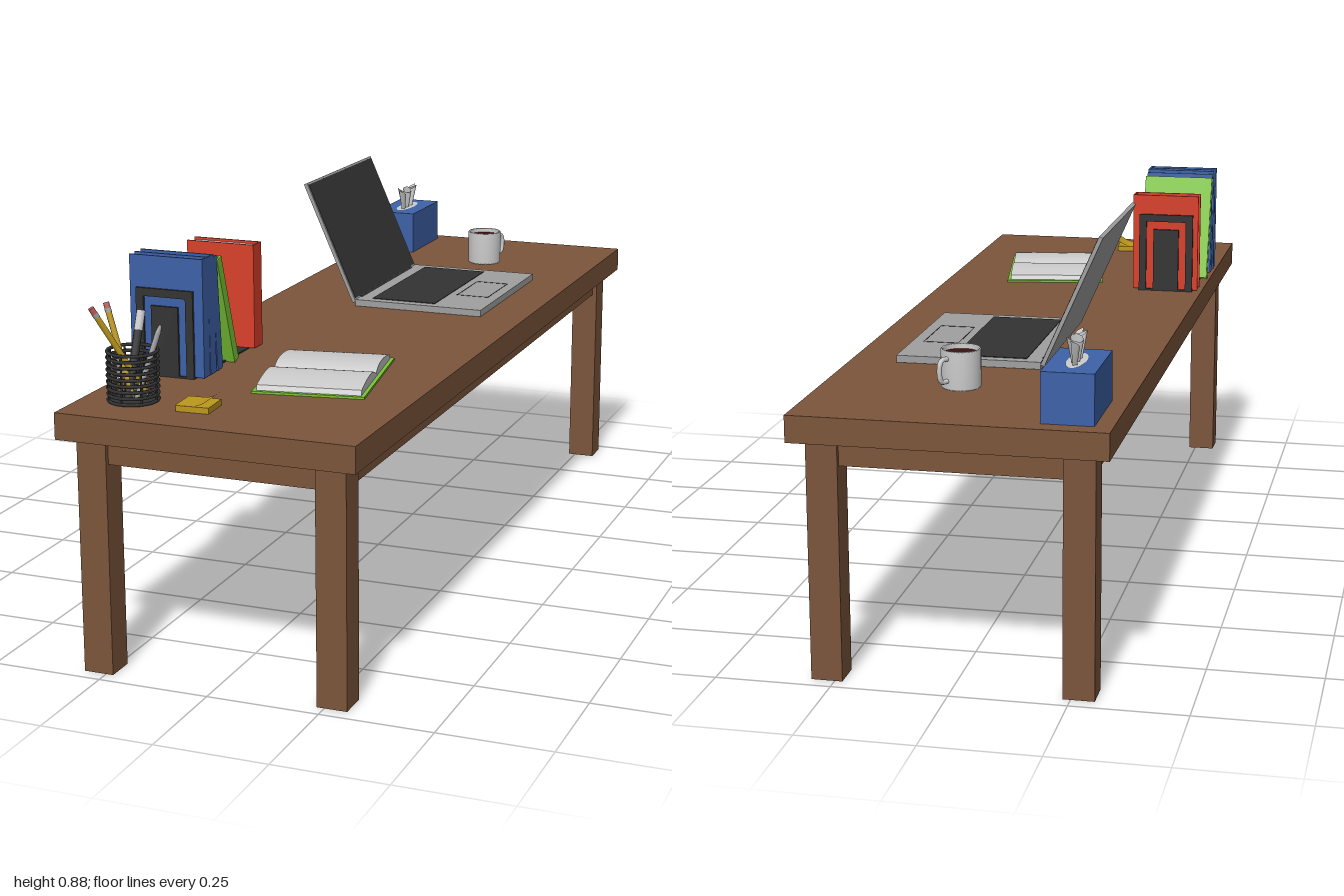
import * as THREE from 'three';

const mat = (color) => new THREE.MeshStandardMaterial({ color, side: THREE.DoubleSide });
const WOOD = mat(0x7b553a), GREY = mat(0xcccccc), SILVER = mat(0xa0a0a0), DARK = mat(0x333333);
const BLUE = mat(0x3d62a8), GREEN = mat(0x7ac435), RED = mat(0xd9402a), YELLOW = mat(0xbd981c);
const PINK = mat(0xc0605c), COFFEE = mat(0x3a1210), TIP = mat(0xc9a878);
const TOP = 0.578;

function add(parent, name, geometry, material, x = 0, y = 0, z = 0) {
  const m = new THREE.Mesh(geometry, material);
  m.name = name;
  m.position.set(x, y, z);
  parent.add(m);
  return m;
}
const box = (parent, name, material, w, h, d, x, y, z) =>
  add(parent, name, new THREE.BoxGeometry(w, h, d), material, x, y, z);

function group(parent, name, x = 0, y = 0, z = 0) {
  const g = new THREE.Group();
  g.name = name;
  g.position.set(x, y, z);
  parent.add(g);
  return g;
}

function buildDesk(root) {
  const desk = group(root, 'desk');
  box(desk, 'deskTop', WOOD, 0.666, 0.058, 2, 0, 0.549, 0);
  for (const s of [-1, 1]) {
    for (const t of [-1, 1]) box(desk, 'leg', WOOD, 0.067, 0.52, 0.067, s * 0.267, 0.26, t * 0.935);
    box(desk, 'sideApron', WOOD, 0.045, 0.056, 1.81, s * 0.267, 0.493, 0);
    box(desk, 'endApron', WOOD, 0.47, 0.056, 0.045, 0, 0.493, s * 0.935);
  }
}

function buildLaptop(root) {
  const g = group(root, 'laptop', 0, TOP, -0.317);
  box(g, 'laptopBase', SILVER, 0.325, 0.016, 0.435, 0.064, 0.009, 0);
  box(g, 'keyboard', DARK, 0.163, 0.002, 0.386, 0.019, 0.0175, 0);
  // touchpad outline
  for (const s of [-1, 1]) {
    box(g, 'touchpadEdge', DARK, 0.08, 0.001, 0.002, 0.16, 0.0172, s * 0.08);
    box(g, 'touchpadEdge', DARK, 0.002, 0.001, 0.16, 0.16 + s * 0.04, 0.0172, 0);
  }
  const hinge = add(g, 'hinge', new THREE.CylinderGeometry(0.006, 0.006, 0.36, 12), DARK, -0.098, 0.013, 0);
  hinge.rotation.x = Math.PI / 2;
  // lid leans back toward -x
  const lid = group(g, 'lid', -0.102, 0.01, 0);
  lid.rotation.z = 0.418;
  box(lid, 'lidShell', SILVER, 0.009, 0.315, 0.435, 0, 0.1575, 0);
  box(lid, 'screen', DARK, 0.002, 0.302, 0.425, 0.0045, 0.159, 0);
}

function buildMug(root) {
  const g = group(root, 'mug', 0.037, TOP, -0.708);
  const pts = [[0, 0], [0.04, 0], [0.043, 0.004], [0.043, 0.083], [0.041, 0.085], [0.038, 0.083], [0.038, 0.006], [0, 0.006]];
  add(g, 'cup', new THREE.LatheGeometry(pts.map((p) => new THREE.Vector2(...p)), 36), GREY);
  const coffee = add(g, 'coffee', new THREE.CircleGeometry(0.039, 36), COFFEE, 0, 0.074, 0);
  coffee.rotation.x = -Math.PI / 2;
  const path = new THREE.CatmullRomCurve3([[0.04, 0.068], [0.058, 0.067], [0.064, 0.058], [0.064, 0.03], [0.058, 0.021], [0.04, 0.02]]
    .map(([x, y]) => new THREE.Vector3(x, y, 0)));
  const handle = add(g, 'handle', new THREE.TubeGeometry(path, 28, 0.0055, 8), GREY);
  handle.rotation.y = 1.05;
}

function buildTissueBox(root) {
  const g = group(root, 'tissueBox', -0.24, TOP, -0.857);
  box(g, 'carton', BLUE, 0.11, 0.107, 0.203, 0, 0.0535, 0);
  const slot = add(g, 'slot', new THREE.CircleGeometry(1, 28), GREY, 0, 0.1076, 0);
  slot.rotation.x = -Math.PI / 2;
  slot.scale.set(0.02, 0.065, 1);
  // crumpled sheet: a fan with rippled folds
  const sheet = new THREE.PlaneGeometry(1, 1, 24, 4);
  const p = sheet.attributes.position;
  for (let i = 0; i < p.count; i++) {
    const u = p.getX(i), v = p.getY(i) + 0.5;
    p.setXYZ(i, Math.sin(u * 19) * (0.006 + 0.01 * v),
      0.1 + v * (0.056 + 0.007 * Math.cos(u * 24)), u * (0.08 + 0.045 * v));
  }
  sheet.computeVertexNormals();
  add(g, 'tissue', sheet, GREY);
}

// upright book: spine toward +x, pages between two boards
function buildBook(parent, material, thick, height, width, z, tilt = 0) {
  const g = group(parent, 'book', -0.24, TOP + 0.003, z);
  g.rotation.x = tilt;
  const board = 0.004;
  for (const s of [-1, 1]) box(g, 'cover', material, width, height, board, 0, height / 2, s * (thick - board) / 2);
  box(g, 'spine', material, board, height, thick, (width - board) / 2, height / 2, 0);
  box(g, 'pages', GREY, width - 0.012, height - 0.012, thick - 2 * board, 0, height / 2, 0);
}

function rectPath(Type, x0, y0, x1, y1) {
  const s = new Type();
  s.moveTo(x0, y0); s.lineTo(x1, y0); s.lineTo(x1, y1); s.lineTo(x0, y1); s.closePath();
  return s;
}

function buildBookend(parent, z, dir) {
  const g = group(parent, 'bookend', -0.242, TOP, z);
  const plate = rectPath(THREE.Shape, -0.068, 0, 0.068, 0.195);
  plate.holes.push(rectPath(THREE.Path, -0.05, 0.004, 0.05, 0.177));
  const tab = rectPath(THREE.Shape, -0.032, 0, 0.032, 0.157);
  for (const [name, shape] of [['bookendFrame', plate], ['bookendTab', tab]])
    add(g, name, new THREE.ExtrudeGeometry(shape, { depth: 0.006, bevelEnabled: false }), DARK, 0, 0, -0.003);
  box(g, 'bookendFoot', DARK, 0.136, 0.003, 0.165, 0, 0.0015, dir * 0.0825);
}

function buildBookRow(root) {
  const g = group(root, 'bookRow');
  buildBookend(g, 0.663, -1);
  buildBookend(g, 0.331, 1);
  buildBook(g, BLUE, 0.03, 0.263, 0.174, 0.643);
  buildBook(g, BLUE, 0.03, 0.263, 0.174, 0.61, 0.02);
  buildBook(g, BLUE, 0.026, 0.258, 0.172, 0.573, 0.09);
  buildBook(g, GREEN, 0.023, 0.262, 0.174, 0.489, 0.32);
  buildBook(g, RED, 0.044, 0.24, 0.165, 0.358);
}

function buildOpenBook(root) {
  const g = group(root, 'openBook', 0.08, TOP, 0.538);
  g.rotation.y = 0.165;
  box(g, 'openCover', GREEN, 0.245, 0.005, 0.332, 0, 0.0025, 0);
  // page block outline: two arched halves meeting at the gutter
  const s = new THREE.Shape();
  s.moveTo(-0.157, 0.005);
  s.lineTo(-0.152, 0.016);
  s.bezierCurveTo(-0.1, 0.028, -0.02, 0.034, 0, 0.01);
  s.bezierCurveTo(0.02, 0.034, 0.1, 0.028, 0.152, 0.016);
  s.lineTo(0.157, 0.005);
  s.closePath();
  const geo = new THREE.ExtrudeGeometry(s, { depth: 0.228, bevelEnabled: false, curveSegments: 16 });
  geo.translate(0, 0, -0.114);
  geo.rotateY(Math.PI / 2);
  add(g, 'openPages', geo, GREY);
}

// rod from a to b made of consecutive pieces [name, material, startT, endT, startRadius, endRadius]
function buildRod(parent, name, a, b, pieces) {
  const from = new THREE.Vector3(...a), dir = new THREE.Vector3(...b).sub(from), len = dir.length();
  const g = group(parent, name, ...a);
  g.quaternion.setFromUnitVectors(new THREE.Vector3(0, 1, 0), dir.normalize());
  for (const [n, m, t0, t1, r0, r1] of pieces)
    add(g, n, new THREE.CylinderGeometry(r1, r0, (t1 - t0) * len, 10), m, 0, (t0 + t1) / 2 * len, 0);
}

function buildPencilCup(root) {
  const g = group(root, 'pencilCup', -0.222, TOP, 0.858);
  const R = 0.053;
  add(g, 'cupFloor', new THREE.CylinderGeometry(R, R, 0.004, 32), DARK, 0, 0.002, 0);
  for (let i = 0; i < 9; i++) {
    const ring = add(g, 'wireRing', new THREE.TorusGeometry(R, 0.0038, 6, 32), DARK, 0, 0.004 + i * 0.013, 0);
    ring.rotation.x = Math.PI / 2;
  }
  for (let i = 0; i < 8; i++) {
    const a = i * Math.PI / 4;
    add(g, 'wirePost', new THREE.CylinderGeometry(0.0025, 0.0025, 0.108, 6), DARK, R * Math.cos(a), 0.056, R * Math.sin(a));
  }
  const pencil = [['lead', DARK, 0, 0.02, 0.0005, 0.002], ['point', TIP, 0.02, 0.08, 0.002, 0.0065],
    ['shaft', YELLOW, 0.08, 0.9, 0.0065, 0.0065], ['ferrule', SILVER, 0.9, 0.94, 0.007, 0.007],
    ['eraser', PINK, 0.94, 1, 0.0065, 0.0065]];
  buildRod(g, 'pencil', [0.025, 0.006, -0.02], [-0.06, 0.207, 0.062], pencil);
  buildRod(g, 'pencil', [0.01, 0.006, 0.02], [-0.06, 0.205, -0.004], pencil);
  buildRod(g, 'marker', [0, 0.006, 0.025], [0, 0.184, -0.045],
    [['markerBody', DARK, 0, 0.78, 0.009, 0.009], ['markerCap', GREY, 0.78, 1, 0.0095, 0.0095]]);
  buildRod(g, 'pen', [0.01, 0.006, 0.005], [0.052, 0.16, -0.03],
    [['penBody', SILVER, 0, 0.9, 0.006, 0.006], ['penEnd', SILVER, 0.9, 1, 0.006, 0.003]]);
}

function buildStickyNotes(root) {
  const g = group(root, 'stickyNotes', -0.069, TOP, 0.864);
  g.rotation.y = 0.06;
  box(g, 'notePad', YELLOW, 0.073, 0.013, 0.073, 0, 0.0065, 0);
  // loose top note with one lifted edge
  const note = new THREE.PlaneGeometry(0.073, 0.073, 10, 1).rotateX(-Math.PI / 2);
  const p = note.attributes.position;
  for (let i = 0; i < p.count; i++) p.setY(i, 0.014 + 0.016 * Math.max(0, p.getX(i) / 0.0365) ** 2);
  note.computeVertexNormals();
  add(g, 'curledNote', note, YELLOW);
}

export function createModel() {
  const root = new THREE.Group();
  root.name = 'deskSet';
  buildDesk(root);
  buildLaptop(root);
  buildMug(root);
  buildTissueBox(root);
  buildBookRow(root);
  buildOpenBook(root);
  buildPencilCup(root);
  buildStickyNotes(root);
  return root;
}
